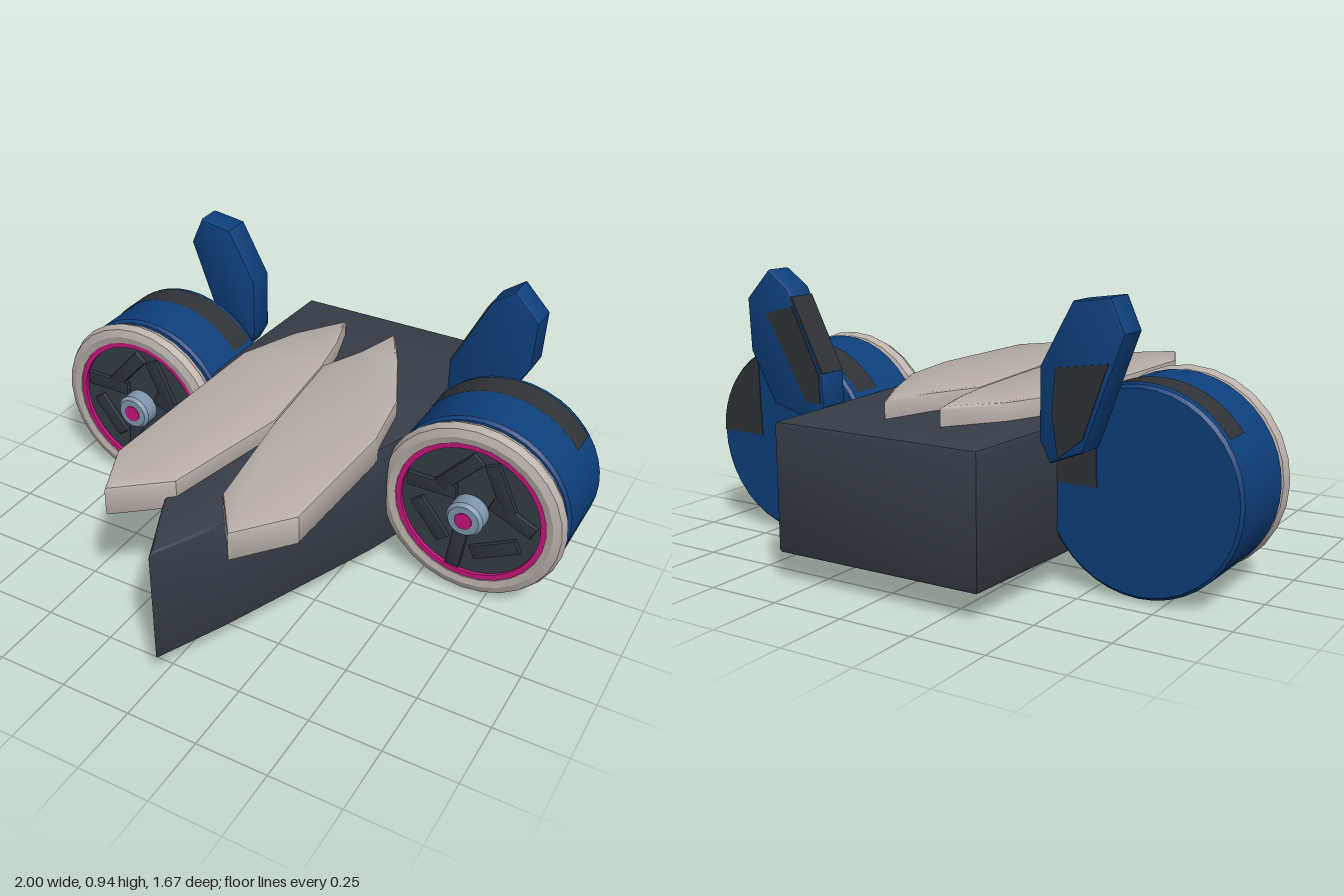
import * as THREE from 'three';
import { toCreasedNormals } from 'three/addons/utils/BufferGeometryUtils.js';

const mat = (name, color, side = THREE.FrontSide) => {
  const m = new THREE.MeshStandardMaterial({ color, side });
  m.name = name;
  return m;
};

export function createModel() {
  const slate = mat('slate', 0x363d48);
  const blue = mat('blue', 0x0d3f7c);
  const beige = mat('beige', 0xb9aea8);
  const pink = mat('pink', 0xc9157f);
  const steel = mat('steel', 0x7f98ae);
  const charcoal = mat('charcoal', 0x2f3338, THREE.DoubleSide);
  const spokeGrey = mat('spoke grey', 0x2e3540);

  const root = new THREE.Group();
  root.name = 'hoverVehicle';

  const add = (parent, name, geometry, material, x = 0, y = 0, z = 0) => {
    const mesh = new THREE.Mesh(geometry, material);
    mesh.name = name;
    mesh.position.set(x, y, z);
    parent.add(mesh);
    return mesh;
  };

  // Bevelled slab spanning z = 0..h within the given outline
  const slab = (points, h, b = 0) => {
    const shape = new THREE.Shape(points.map(([x, y]) => new THREE.Vector2(x, y)));
    const g = new THREE.ExtrudeGeometry(shape, {
      depth: h - 2 * b, bevelEnabled: b > 0, bevelSize: b, bevelThickness: b,
      bevelOffset: -b, bevelSegments: 2,
    });
    return toCreasedNormals(g.translate(0, 0, b), 0.6);
  };
  // Slab drawn in (x, z), hanging down from y = 0
  const flatSlab = (points, h, b) => slab(points, h, b).rotateX(Math.PI / 2);
  // Profile of [radius, z] turned about the z axis
  const turned = (profile, segments) => toCreasedNormals(
    new THREE.LatheGeometry(profile.map(([r, z]) => new THREE.Vector2(r, z)), segments)
      .rotateX(Math.PI / 2), 0.5);

  // Hull with a pointed nose
  add(root, 'hull', flatSlab([
    [-0.367, -0.84], [0.367, -0.84], [0.407, -0.17], [0.345, 0.02], [0.11, 0.6],
    [0, 0.835], [-0.11, 0.6], [-0.345, 0.02], [-0.407, -0.17],
  ], 0.42, 0.012), slate, 0, 0.512);

  // Two long deck plates meeting along the middle
  add(root, 'rightDeckPlate', flatSlab([
    [-0.11, -0.645], [-0.06, -0.48], [-0.03, -0.31], [0.005, 0.09], [-0.09, 0.55],
    [-0.262, 0.692], [-0.35, 0.5], [-0.337, 0.03], [-0.327, -0.25], [-0.237, -0.47],
  ], 0.107, 0.01), beige, 0, 0.572);
  add(root, 'leftDeckPlate', flatSlab([
    [0.097, -0.645], [0.19, -0.48], [0.31, -0.22], [0.352, 0.03], [0.335, 0.52],
    [0.19, 0.696], [0.07, 0.53], [0.005, 0.09], [-0.03, -0.31], [0.045, -0.47],
  ], 0.107, 0.01), beige, 0, 0.572);

  // Wheel parts, shared by both sides
  const drumGeo = turned([[0, -0.43], [0.316, -0.43], [0.326, -0.42], [0.326, -0.13],
    [0.316, -0.12], [0, -0.12]], 40);
  const tyreGeo = turned([[0.27, -0.105], [0.295, -0.11], [0.322, -0.1], [0.333, -0.075],
    [0.322, -0.05], [0.295, -0.04], [0.27, -0.045], [0.27, -0.105]], 28);
  const rimGeo = turned([[0.25, -0.07], [0.272, -0.07], [0.272, -0.049], [0.25, -0.049],
    [0.25, -0.07]], 40);
  const discGeo = turned([[0, -0.13], [0.252, -0.13], [0.252, -0.062], [0, -0.062]], 40);
  const hubGeo = turned([[0, -0.07], [0.066, -0.07], [0.066, -0.01], [0.055, 0.002],
    [0, 0.002]], 24);
  const capGeo = turned([[0, -0.02], [0.031, -0.02], [0.031, 0.006], [0, 0.006]], 20);
  const bandGeo = new THREE.CylinderGeometry(0.329, 0.329, 0.105, 24, 1, true,
    Math.PI - 0.95, 1.9).rotateX(Math.PI / 2);
  const sector = [[0.14, 0], [0.318, 0]];
  for (let i = 1; i <= 8; i++) {
    const a = i * 0.136;
    sector.push([0.318 * Math.cos(a), 0.318 * Math.sin(a)]);
  }
  const sectorGeo = slab(sector, 0.005);

  // Spoke bars: [x, y, length, angle in degrees]
  const bars = [
    [-0.14, 0.065, 0.18, 0], [-0.05, 0.145, 0.2, 48], [0.1, 0.13, 0.18, -65],
    [0.15, 0.03, 0.17, -25], [0.1, -0.12, 0.18, 28], [-0.035, -0.16, 0.16, 82],
    [-0.14, -0.075, 0.17, -52],
  ];

  for (const side of [-1, 1]) {
    const wheel = new THREE.Group();
    wheel.name = side > 0 ? 'leftWheel' : 'rightWheel';
    wheel.position.set(side * 0.667, 0.335, 0);
    root.add(wheel);
    add(wheel, 'drum', drumGeo, blue);
    add(wheel, 'tyre', tyreGeo, beige);
    add(wheel, 'rimRing', rimGeo, pink);
    add(wheel, 'disc', discGeo, slate);
    add(wheel, 'hub', hubGeo, steel);
    add(wheel, 'hubCap', capGeo, pink);
    add(wheel, 'drumBand', bandGeo, charcoal, 0, 0, -0.352);
    add(wheel, 'drumBackPatch', sectorGeo, charcoal, 0, 0, -0.433);
    for (const [x, y, len, deg] of bars) {
      const w = 0.026, l = len / 2;
      const bar = add(wheel, 'spokeBar', slab([[-l, -w], [l, -w], [l, w], [-l, w]], 0.025, 0.006),
        spokeGrey, x, y, -0.07);
      bar.rotation.z = THREE.MathUtils.degToRad(deg);
    }
  }

  // Upright fins behind the wheels with dark patches on their backs
  const fins = [
    ['rightFin',
      [[-0.7, 0.83], [-0.655, 0.93], [-0.53, 0.912], [-0.425, 0.72], [-0.425, 0.5],
        [-0.46, 0.435], [-0.57, 0.48]],
      [[-0.48, 0.72], [-0.65, 0.745], [-0.57, 0.52], [-0.49, 0.455], [-0.47, 0.58]]],
    ['leftFin',
      [[0.6, 0.942], [0.693, 0.845], [0.685, 0.67], [0.59, 0.5], [0.42, 0.455],
        [0.38, 0.51], [0.382, 0.61], [0.52, 0.885]],
      [[0.61, 0.8], [0.5, 0.83], [0.393, 0.61], [0.393, 0.52], [0.45, 0.52], [0.51, 0.63]]],
  ];
  for (const [name, outline, patch] of fins) {
    add(root, name, slab(outline, 0.11, 0.012), blue, 0, 0, -0.6);
    add(root, name + 'BackPatch', slab(patch, 0.005), charcoal, 0, 0, -0.603);
  }
  // Dark strip on the inner slope of the left fin
  const strip = add(root, 'leftFinEdgeStrip', new THREE.BoxGeometry(0.27, 0.006, 0.1),
    charcoal, 0.446, 0.738, -0.545);
  strip.rotation.z = Math.atan2(0.275, 0.138);

  return root;
}
